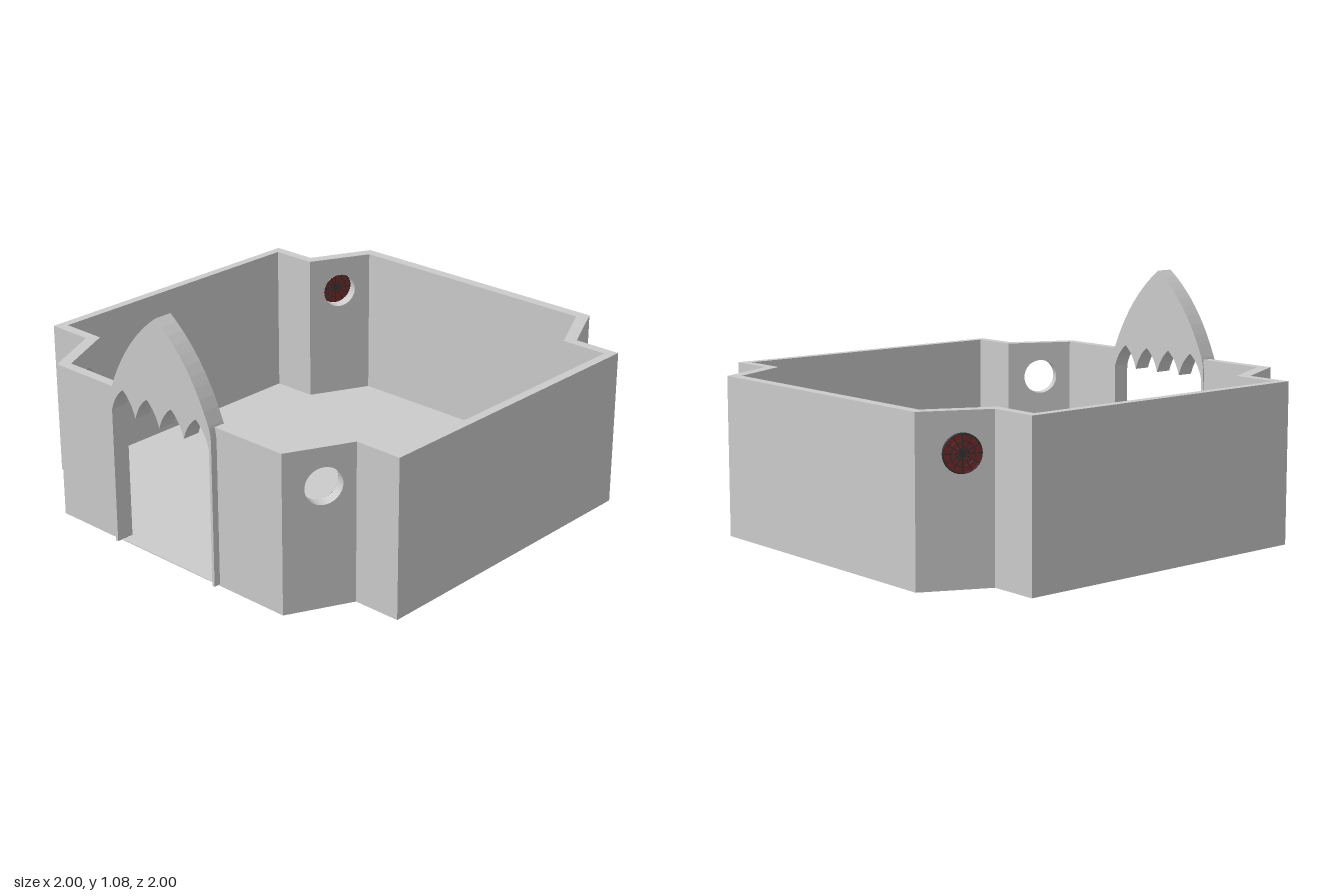
import * as THREE from 'three';

const H = 0.695, HOLE_Y = 0.53, HOLE_R = 0.08, DOOR = 0.29;
const grey = new THREE.MeshStandardMaterial({ color: 0xcccccc, side: THREE.DoubleSide });
const glassRed = new THREE.MeshStandardMaterial({ color: 0x7a2626, side: THREE.DoubleSide });
const lead = new THREE.MeshStandardMaterial({ color: 0x333333 });

function add(parent, name, geometry, material = grey) {
  const mesh = new THREE.Mesh(geometry, material);
  mesh.name = name;
  parent.add(mesh);
  return mesh;
}

// Right half of the plan, front to back, as [x, z]; the left half is its mirror
const outerHalf = [[0.65, 0.97], [0.785, 0.695], [1, 0.695], [1, -0.72], [0.785, -0.72], [0.65, -1]];
const innerHalf = [[0.613, 0.925], [0.748, 0.648], [0.96, 0.648], [0.96, -0.675], [0.748, -0.675], [0.613, -0.95]];
const fullPath = (half) => [...half, ...half.map(([x, z]) => [-x, z]).reverse()];
const withDoor = (half, z) => [[DOOR, z], ...fullPath(half), [-DOOR + 0.005, z]];

// Flat shape laid on the ground plane
function flat(points) {
  const shape = new THREE.Shape(points.map(([x, z]) => new THREE.Vector2(x, -z)));
  return new THREE.ShapeGeometry(shape).rotateX(-Math.PI / 2);
}

// Upright wall sheet from a to b, with an optional round opening near `hole`
function panel(a, b, hole) {
  const dir = new THREE.Vector3(b[0] - a[0], 0, b[1] - a[1]);
  const len = dir.length();
  dir.normalize();
  const shape = new THREE.Shape();
  shape.moveTo(0, 0).lineTo(len, 0).lineTo(len, H).lineTo(0, H).closePath();
  if (hole) {
    const u = (hole.x - a[0]) * dir.x + (hole.z - a[1]) * dir.z;
    shape.holes.push(new THREE.Path().absarc(u, HOLE_Y, HOLE_R, 0, Math.PI * 2, true));
  }
  const up = new THREE.Vector3(0, 1, 0);
  const m = new THREE.Matrix4().makeBasis(dir, up, dir.clone().cross(up)).setPosition(a[0], 0, a[1]);
  return new THREE.ShapeGeometry(shape, 20).applyMatrix4(m);
}

// Round stained-glass window facing +z
function roseWindow() {
  const g = new THREE.Group();
  g.name = 'roseWindow';
  add(g, 'glass', new THREE.CylinderGeometry(0.078, 0.078, 0.006, 32).rotateX(Math.PI / 2), glassRed);
  for (const r of [0.024, 0.05, 0.076]) add(g, 'leadRing', new THREE.TorusGeometry(r, 0.004, 6, 32), lead);
  for (let i = 0; i < 6; i++) {
    add(g, 'leadBar', new THREE.BoxGeometry(0.152, 0.005, 0.012).rotateZ(i * Math.PI / 6), lead);
    const a = i * Math.PI / 3;
    add(g, 'leadPetal', new THREE.TorusGeometry(0.02, 0.003, 6, 16)
      .translate(0.05 * Math.cos(a), 0.05 * Math.sin(a), 0), lead);
  }
  return g;
}

// Pointed doorway with thin posts and a scalloped underside
function doorArch() {
  const s = new THREE.Shape();
  const c = 0.005, w = 0.295, inner = 0.282, base = 0.61, peak = 0.715;
  s.moveTo(c + w, 0.008);
  s.lineTo(c + w, 0.63);
  s.quadraticCurveTo(c + w, 0.68, c + 0.278, 0.715);
  s.quadraticCurveTo(c + 0.18, 0.95, c, 1.08);
  s.quadraticCurveTo(c - 0.18, 0.95, c - 0.278, 0.715);
  s.quadraticCurveTo(c - w, 0.68, c - w, 0.63);
  s.lineTo(c - w, 0.008);
  s.lineTo(c - inner, 0.008);
  s.lineTo(c - inner, base);
  const step = inner / 2;
  for (let i = 0; i < 4; i++) {
    const x = c - inner + i * step;
    s.quadraticCurveTo(x + step * 0.15, base + 0.07, x + step / 2, peak);
    s.quadraticCurveTo(x + step * 0.85, base + 0.07, x + step, base);
  }
  s.lineTo(c + inner, 0.008);
  s.closePath();
  return new THREE.ExtrudeGeometry(s, { depth: 0.08, bevelEnabled: false, curveSegments: 10 }).translate(0, 0, 0.92);
}

export function createModel() {
  const model = new THREE.Group();
  model.name = 'walledCourt';

  // Floor and door sill
  add(model, 'floor', flat(fullPath(innerHalf)).translate(0, 0.004, 0));
  add(model, 'doorSill', new THREE.BoxGeometry(0.57, 0.004, 0.045).translate(0.003, 0.002, 0.947));

  // Walls: outer sheet, inner sheet and top rim; the slanted ones have round openings
  const outer = withDoor(outerHalf, 0.97), inner = withDoor(innerHalf, 0.925);
  const holeAt = { 1: [0.724, 0.815], 5: [0.729, -0.835], 7: [-0.729, -0.835], 11: [-0.724, 0.815] };
  for (let i = 0; i < outer.length - 1; i++) {
    const a = outer[i], b = outer[i + 1];
    const hole = holeAt[i] && new THREE.Vector3(holeAt[i][0], HOLE_Y, holeAt[i][1]);
    const wall = new THREE.Group();
    wall.name = hole ? 'slantedWall' : 'wall';
    model.add(wall);
    add(wall, 'outerFace', panel(a, b, hole));
    add(wall, 'innerFace', panel(inner[i + 1], inner[i], hole));
    if (!hole) continue;

    // Lining of the round opening, spanning the wall thickness
    const n = new THREE.Vector3(a[1] - b[1], 0, b[0] - a[0]).normalize();
    const depthOf = (p) => (p[0] - hole.x) * n.x + (p[1] - hole.z) * n.z;
    const front = depthOf(a), back = depthOf(inner[i]);
    const lining = add(wall, 'openingLining',
      new THREE.CylinderGeometry(HOLE_R, HOLE_R, front - back, 40, 1, true).rotateX(Math.PI / 2));
    lining.position.copy(hole).addScaledVector(n, (front + back) / 2);
    lining.rotation.y = Math.atan2(n.x, n.z);

    // Stained glass sits in the back opening on the -x side only
    if (i === 7) {
      const rose = roseWindow();
      rose.position.copy(hole).addScaledVector(n, front + 0.002);
      rose.rotation.y = Math.atan2(n.x, n.z);
      model.add(rose);
    }
  }
  add(model, 'wallRim', flat([...outer, ...inner.slice().reverse()]).translate(0, H, 0));

  // Entrance
  add(model, 'doorArch', doorArch());
  return model;
}
